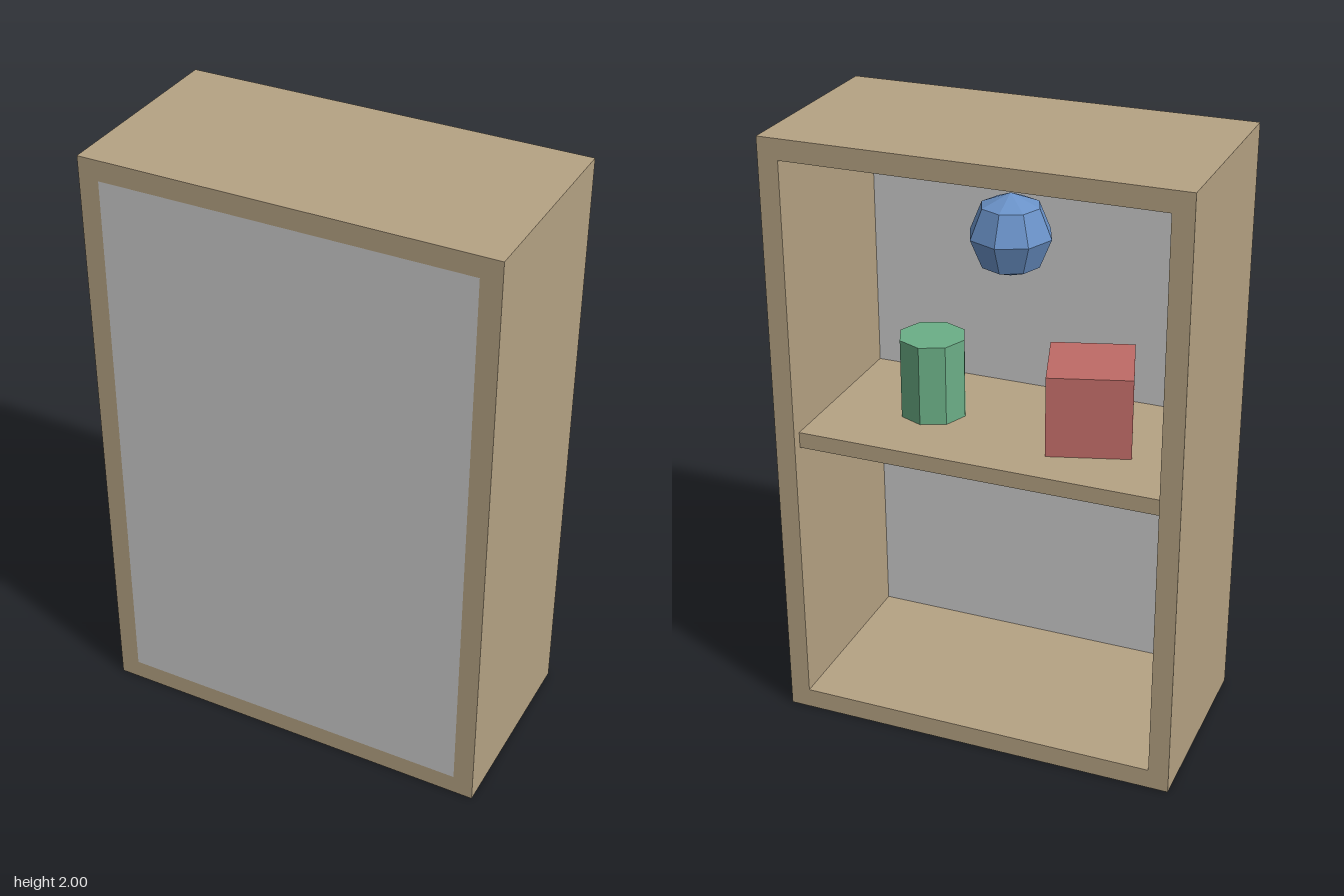
import * as THREE from 'three';

const WIDTH = 1.333, HEIGHT = 2, DEPTH = 0.667, WALL = 0.067;
const SHELF_Y = 1, SHELF_THICK = 0.053, PANEL_THICK = 0.033;
const ITEM = 0.267; // height of the objects on display

const material = (color) => new THREE.MeshStandardMaterial({ color, flatShading: true });

function rectangle(Type, w, h) {
  const path = new Type();
  path.moveTo(-w / 2, -h / 2);
  path.lineTo(w / 2, -h / 2);
  path.lineTo(w / 2, h / 2);
  path.lineTo(-w / 2, h / 2);
  path.closePath();
  return path;
}

export function createModel() {
  const group = new THREE.Group();
  const wood = material(0xb5a283);
  const innerW = WIDTH - 2 * WALL, innerH = HEIGHT - 2 * WALL;

  const add = (name, geometry, mat, x, y, z) => {
    const mesh = new THREE.Mesh(geometry, mat);
    mesh.name = name;
    mesh.position.set(x, y, z);
    group.add(mesh);
    return mesh;
  };

  // Case: four walls as one rectangular ring, open at the back
  const ring = rectangle(THREE.Shape, WIDTH, HEIGHT);
  ring.holes.push(rectangle(THREE.Path, innerW, innerH));
  const caseGeometry = new THREE.ExtrudeGeometry(ring, { depth: DEPTH, bevelEnabled: false });
  add('cabinetCase', caseGeometry, wood, 0, HEIGHT / 2, -DEPTH / 2);

  // Panel closing the front, flush with the case
  add('frontPanel', new THREE.BoxGeometry(innerW, innerH, PANEL_THICK), material(0xcccccc),
    0, HEIGHT / 2, DEPTH / 2 - PANEL_THICK / 2);

  // Shelf, set back a little from the open side
  add('shelf', new THREE.BoxGeometry(innerW, SHELF_THICK, 0.6), wood, 0, SHELF_Y, 0);

  // Objects on display
  const itemY = SHELF_Y + SHELF_THICK / 2 + ITEM / 2;
  const cube = add('redCube', new THREE.BoxGeometry(ITEM, ITEM, ITEM), material(0xbf6b66), -0.267, itemY, 0);
  cube.rotation.y = 0.3;
  add('greenCylinder', new THREE.CylinderGeometry(0.11, 0.11, ITEM, 8), material(0x6bae86), 0.267, itemY, 0);
  add('blueBall', new THREE.SphereGeometry(ITEM / 2, 8, 4), material(0x6a92c8), 0, 1.67, 0);

  return group;
}
